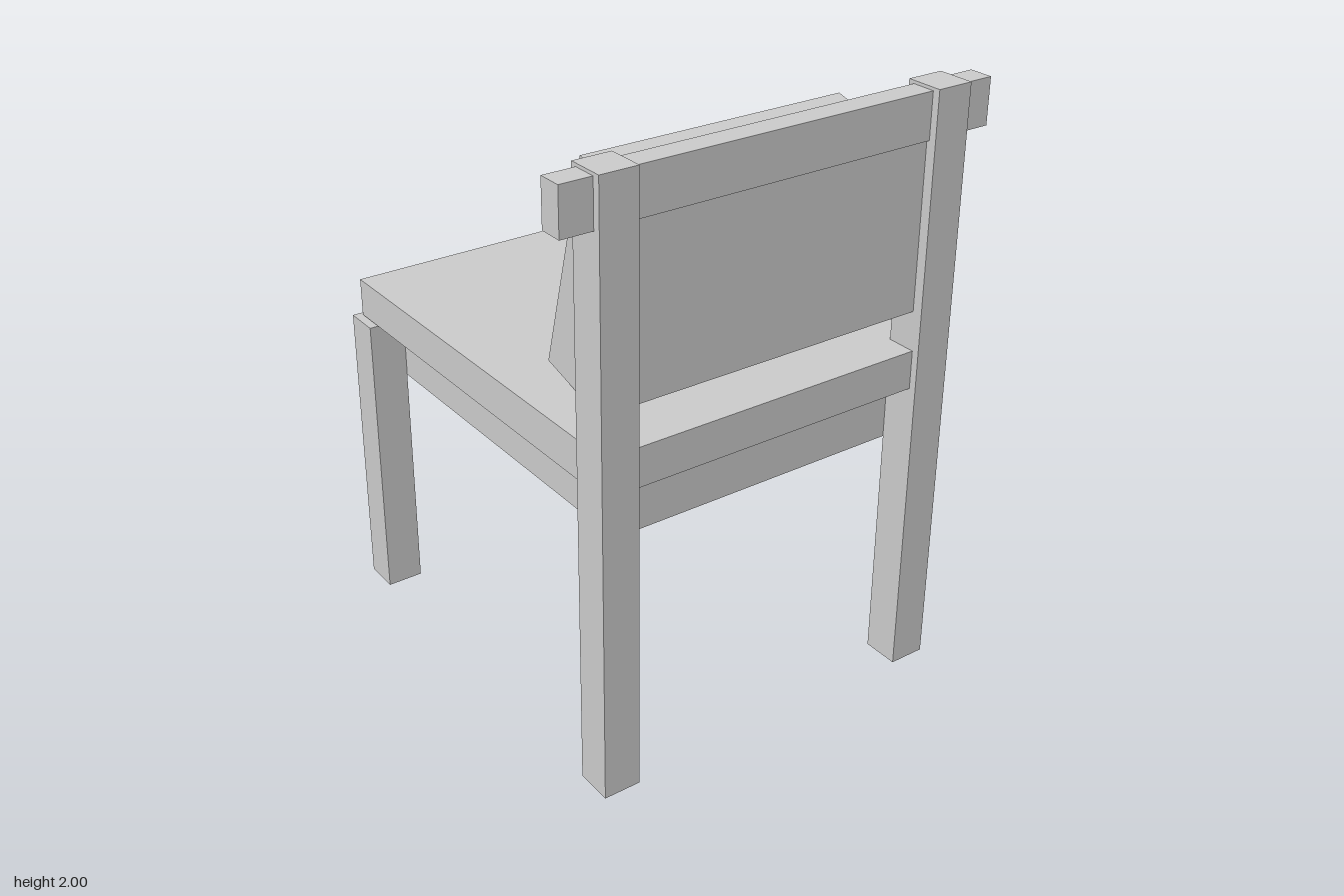
import * as THREE from 'three';

const material = new THREE.MeshStandardMaterial({ color: 0xcccccc, flatShading: true });

// Box given by its [min, max] extent on each axis.
function box(name, [x0, x1], [y0, y1], [z0, z1]) {
  const mesh = new THREE.Mesh(new THREE.BoxGeometry(x1 - x0, y1 - y0, z1 - z0), material);
  mesh.position.set((x0 + x1) / 2, (y0 + y1) / 2, (z0 + z1) / 2);
  mesh.name = name;
  return mesh;
}

export function createModel() {
  const chair = new THREE.Group();
  chair.name = 'chair';

  // Legs: short at the seat's open edge (-z), tall posts carrying the backrest (+z)
  for (const side of [-1, 1]) {
    const x = side < 0 ? [-0.645, -0.52] : [0.52, 0.645];
    const label = side < 0 ? 'right' : 'left';
    chair.add(box(`${label}ShortLeg`, x, [0, 1.025], [-0.75, -0.625]));
    chair.add(box(`${label}BackPost`, x, [0, 2], [0.625, 0.75]));
  }

  // Seat: frame, thin board and cushion stacked upwards
  chair.add(box('seatFrame', [-0.52, 0.52], [0.815, 0.975], [-0.625, 0.625]));
  chair.add(box('seatBoard', [-0.54, 0.54], [0.975, 1.03], [-0.645, 0.645]));
  chair.add(box('seatCushion', [-0.62, 0.62], [1.03, 1.16], [-0.725, 0.725]));

  // Backrest: rail running through the posts with a panel hung below
  chair.add(box('topRail', [-0.75, 0.75], [1.84, 1.99], [0.645, 0.725]));
  chair.add(box('backPanel', [-0.52, 0.52], [1.29, 1.84], [0.655, 0.715]));

  // Loose cushion leaning on the backrest
  const cushion = box('backCushion', [-0.465, 0.465], [1.155, 1.885], [0.291, 0.535]);
  cushion.rotation.x = THREE.MathUtils.degToRad(15);
  chair.add(cushion);

  return chair;
}
